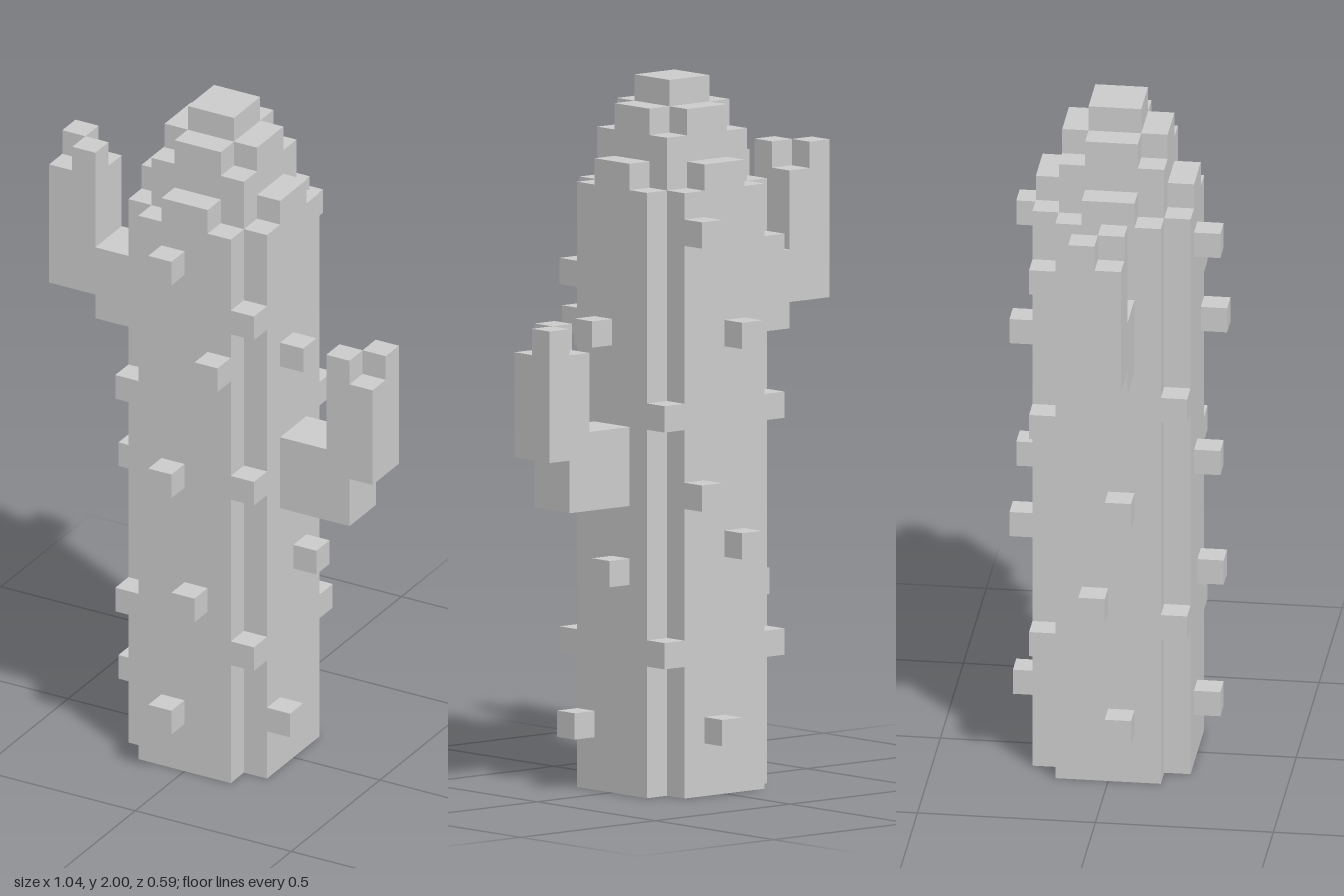
import * as THREE from 'three';

const U = 2 / 27; // edge of one block

export function createModel() {
  const model = new THREE.Group();
  model.name = 'cactus';
  const material = new THREE.MeshStandardMaterial({ color: 0xcccccc, flatShading: true });

  const group = (name) => {
    const g = new THREE.Group();
    g.name = name;
    model.add(g);
    return g;
  };

  // Box between two corners, counted in blocks
  const box = (parent, name, [x0, y0, z0], [x1, y1, z1]) => {
    const geometry = new THREE.BoxGeometry((x1 - x0) * U, (y1 - y0) * U, (z1 - z0) * U);
    const mesh = new THREE.Mesh(geometry, material);
    mesh.position.set((x0 + x1) / 2 * U, (y0 + y1) / 2 * U, (z0 + z1) / 2 * U);
    mesh.name = name;
    parent.add(mesh);
  };
  const cube = (parent, name, x, y, z) => box(parent, name, [x, y, z], [x + 1, y + 1, z + 1]);

  // Trunk: square core with four side slabs that leave the corners notched
  const trunk = group('trunk');
  box(trunk, 'trunkCore', [-2, 0, -2], [2, 25, 2]);
  for (const s of [-3, 2]) {
    box(trunk, 'sideSlab', [s, 0, -2], [s + 1, 23, 2]);
    box(trunk, 'sideSlab', [-2, 0, s], [2, 23, s + 1]);
    box(trunk, 'shoulderStep', [s, 23, -1], [s + 1, 24, 1]);
    box(trunk, 'shoulderStep', [-1, 23, s], [1, 24, s + 1]);
  }

  // Stepped crown
  const crown = group('crown');
  box(crown, 'crownCross', [-2, 25, -1], [2, 26, 1]);
  for (const z of [-2, 1]) box(crown, 'crownCross', [-1, 25, z], [1, 26, z + 1]);
  box(crown, 'crownTip', [-1, 26, -1], [1, 27, 1]);

  // Single blocks bridging the corner notches: x, z, rows
  const bridges = group('cornerBlocks');
  for (const [x, z, rows] of [
    [2, 2, [5, 12, 19]], [-3, 2, [6, 15]], [2, -3, [5, 14]], [-3, -3, [5, 14, 20]],
  ]) for (const y of rows) cube(bridges, 'cornerBlock', x, y, z);

  // Arms: stem, upright and two diagonal tip blocks
  const rightArm = group('rightArm');
  box(rightArm, 'armStem', [-5, 17, -1], [-3, 20, 1]);
  box(rightArm, 'armUpright', [-7, 18, -1], [-5, 23, 1]);
  cube(rightArm, 'armTip', -6, 23, 0);
  cube(rightArm, 'armTip', -7, 23, -1);

  const leftArm = group('leftArm');
  box(leftArm, 'armStem', [3, 11, -1], [5, 14, 1]);
  box(leftArm, 'armElbow', [5, 11, -1], [6, 13, 1]);
  box(leftArm, 'armUpright', [5, 13, -1], [7, 17, 1]);
  cube(leftArm, 'armTip', 5, 17, 0);
  cube(leftArm, 'armTip', 6, 17, -1);

  // Spines: position along the face, row
  const spines = group('spines');
  const front = [[-1, 2], [0, 7], [-1, 12], [1, 17], [-1, 21]];
  const back = [[0, 2], [-1, 9], [1, 11], [-1, 17], [1, 21]];
  const left = [[1, 2], [-1, 8], [0, 17]];
  const right = [[0, 2], [-1, 7], [0, 11]];
  for (const [x, y] of front) cube(spines, 'frontSpine', x, y, 3);
  for (const [x, y] of back) cube(spines, 'backSpine', x, y, -4);
  for (const [z, y] of left) cube(spines, 'leftSpine', 3, y, z);
  for (const [z, y] of right) cube(spines, 'rightSpine', -4, y, z);

  return model;
}
